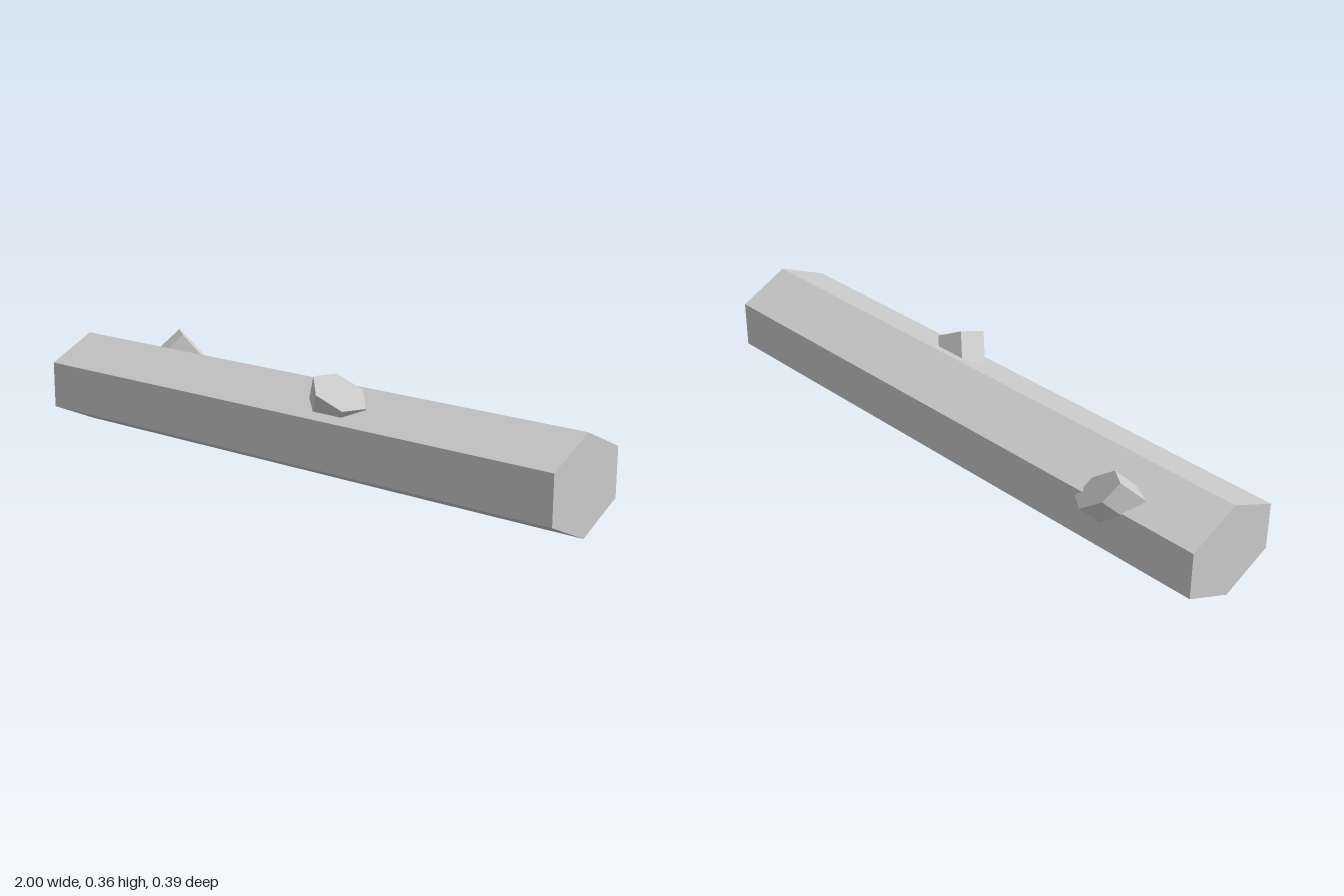
import * as THREE from 'three';

// Six-sided prism: end-face centre, two corner offsets (a, c) spanning the hexagon,
// and the vector from the near end to that face.
function hexPrism(name, centre, a, c, along) {
  const V = (p) => new THREE.Vector3(...p);
  const end = V(centre), u = V(a), w = V(c), axis = V(along);
  const start = end.clone().sub(axis);
  const offsets = [u, u.clone().add(w), w];
  for (let i = 0; i < 3; i++) offsets.push(offsets[i].clone().negate());

  const pos = [];
  const tri = (...pts) => pts.forEach((p) => pos.push(p.x, p.y, p.z));
  for (let i = 0; i < 6; i++) {
    const p = offsets[i], q = offsets[(i + 1) % 6];
    const p0 = start.clone().add(p), q0 = start.clone().add(q);
    const p1 = end.clone().add(p), q1 = end.clone().add(q);
    tri(p0, q0, q1);
    tri(p0, q1, p1);
    tri(end, p1, q1);
    tri(start, q0, p0);
  }
  const geometry = new THREE.BufferGeometry();
  geometry.setAttribute('position', new THREE.Float32BufferAttribute(pos, 3));
  geometry.computeVertexNormals();
  const mesh = new THREE.Mesh(
    geometry,
    new THREE.MeshStandardMaterial({ color: 0xcccccc, flatShading: true })
  );
  mesh.name = name;
  return mesh;
}

export function createModel() {
  const group = new THREE.Group();
  group.name = 'log';

  // Trunk lying along x
  group.add(hexPrism('trunk', [1, 0.158, 0.025], [0, 0.155, 0], [0, -0.0775, 0.171], [2, 0, 0]));

  // Cut branch stubs, rooted inside the trunk
  group.add(hexPrism('frontBranchStub', [0.214, 0.318, 0.138],
    [-0.041, 0.045, -0.038], [-0.043, -0.004, 0.059], [0.07, 0.112, 0.059]));
  group.add(hexPrism('backBranchStub', [-0.648, 0.274, -0.149],
    [-0.057, 0.005, -0.042], [-0.023, 0.055, 0.046], [0.073, 0.106, -0.097]));

  return group;
}
